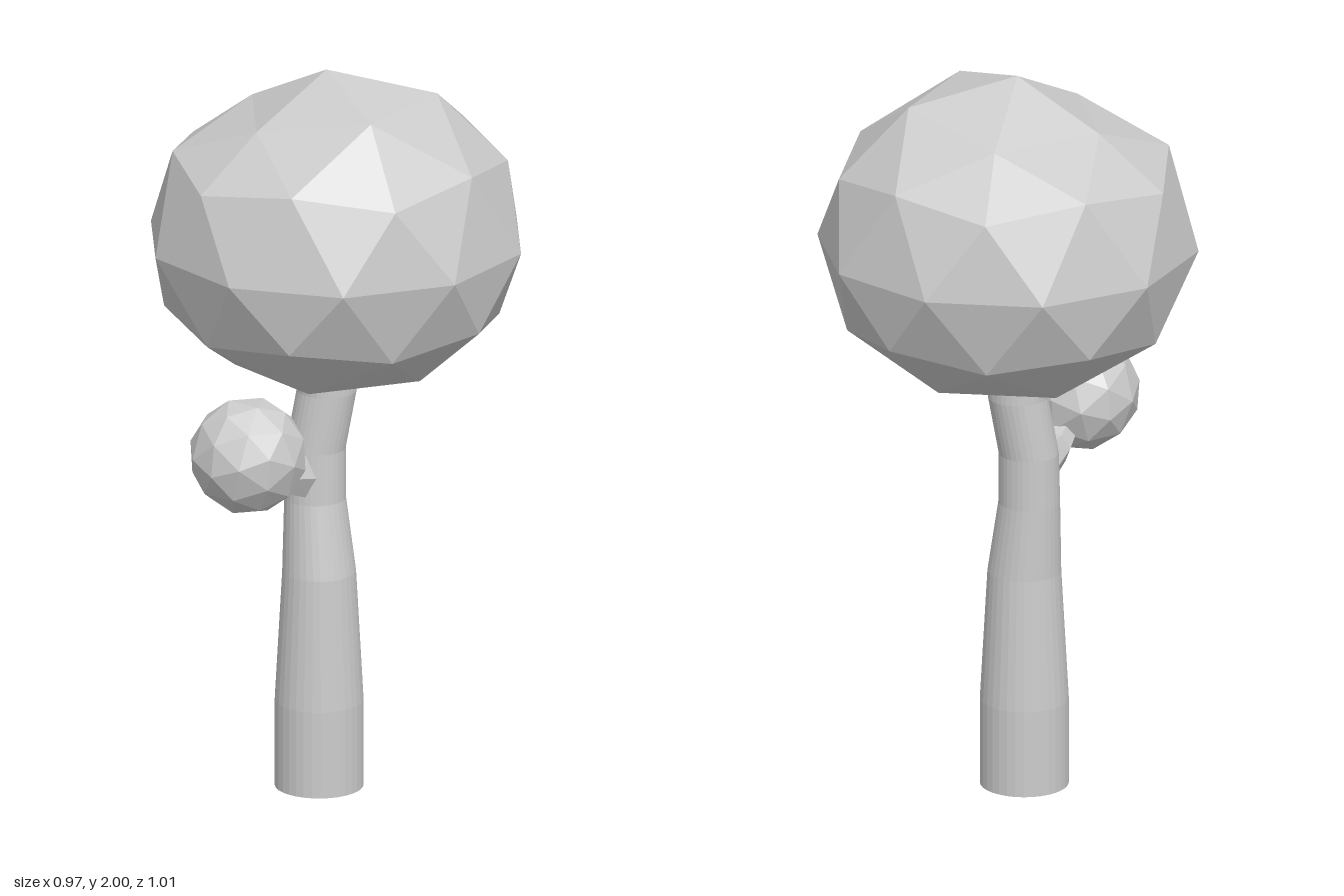
import * as THREE from 'three';

const material = new THREE.MeshStandardMaterial({ color: 0xcccccc, flatShading: true });
const V = (x, y, z) => new THREE.Vector3(x, y, z);

function add(group, name, geometry) {
  const mesh = new THREE.Mesh(geometry, material);
  mesh.name = name;
  group.add(mesh);
  return mesh;
}

// Joins elliptical rings {c, u, v} into a closed, faceted limb; u x v points along the limb.
function loft(rings, sides) {
  const pos = [];
  const point = ({ c, u, v }, i) => {
    const a = (i / sides) * Math.PI * 2;
    return c.clone().addScaledVector(u, Math.cos(a)).addScaledVector(v, Math.sin(a));
  };
  const tri = (...pts) => pts.forEach((p) => pos.push(p.x, p.y, p.z));
  const first = rings[0];
  const last = rings[rings.length - 1];
  for (let i = 0; i < sides; i++) {
    for (let r = 0; r < rings.length - 1; r++) {
      const a = point(rings[r], i), b = point(rings[r], i + 1);
      const c = point(rings[r + 1], i + 1), d = point(rings[r + 1], i);
      tri(a, b, c);
      tri(a, c, d);
    }
    tri(first.c, point(first, i + 1), point(first, i));
    tri(last.c, point(last, i), point(last, i + 1));
  }
  const geometry = new THREE.BufferGeometry();
  geometry.setAttribute('position', new THREE.Float32BufferAttribute(pos, 3));
  geometry.computeVertexNormals();
  return geometry;
}

// Faceted ball with one corner pointing straight up
function facetedBall() {
  return new THREE.IcosahedronGeometry(1, 1).rotateZ(-0.5536);
}

// Main crown: flatter underneath, with its upper left and back corners pushed down
function crownGeometry() {
  const geometry = facetedBall();
  const p = geometry.attributes.position;
  for (let i = 0; i < p.count; i++) {
    const x = p.getX(i), y = p.getY(i), z = p.getZ(i);
    const dented = y > 0.8 && y < 0.9 && (z < -0.1 || x < -0.3);
    const tipShift = y > 0.95 ? -0.025 : 0;
    p.setXYZ(
      i,
      x * 0.51 - 0.012 + tipShift,
      1.53 + y * (y > 0 ? 0.47 : 0.415) - (dented ? 0.05 : 0),
      z * 0.505,
    );
  }
  geometry.computeVertexNormals();
  return geometry;
}

export function createModel() {
  const tree = new THREE.Group();
  tree.name = 'tree';

  // Trunk: x, y, z, radius of each ring
  const trunk = [
    [-0.057, 0, 0.005, 0.118],
    [-0.057, 0.24, 0.005, 0.118],
    [-0.057, 0.6, 0.005, 0.098],
    [-0.067, 0.8, -0.012, 0.082],
    [-0.065, 0.94, -0.015, 0.08],
    [-0.036, 1.1, -0.015, 0.08],
    [-0.036, 1.16, -0.015, 0.08],
  ].map(([x, y, z, r]) => ({ c: V(x, y, z), u: V(r, 0, 0), v: V(0, 0, -r) }));
  add(tree, 'trunk', loft(trunk, 32));

  // Side branch: x, y, z, half width, half height, backward tilt of each ring
  const branch = [
    [-0.1, 0.875, 0.03, 0.05, 0.07, 0],
    [-0.165, 0.9, 0.115, 0.04, 0.048, 0.3],
    [-0.23, 0.97, 0.205, 0.03, 0.035, 0.7],
  ].map(([x, y, z, w, h, t]) => ({
    c: V(x, y, z),
    u: V(0.78 * w, 0, 0.62 * w),
    v: V(0.62 * Math.sin(t) * h, Math.cos(t) * h, -0.78 * Math.sin(t) * h),
  }));
  add(tree, 'branch', loft(branch, 6));

  // Foliage
  add(tree, 'crown', crownGeometry());
  const smallCrown = add(tree, 'smallCrown', facetedBall().scale(0.158, 0.158, 0.158));
  smallCrown.position.set(-0.255, 1.005, 0.245);
  smallCrown.rotation.set(0.35, 0.3, 0.4);

  return tree;
}
